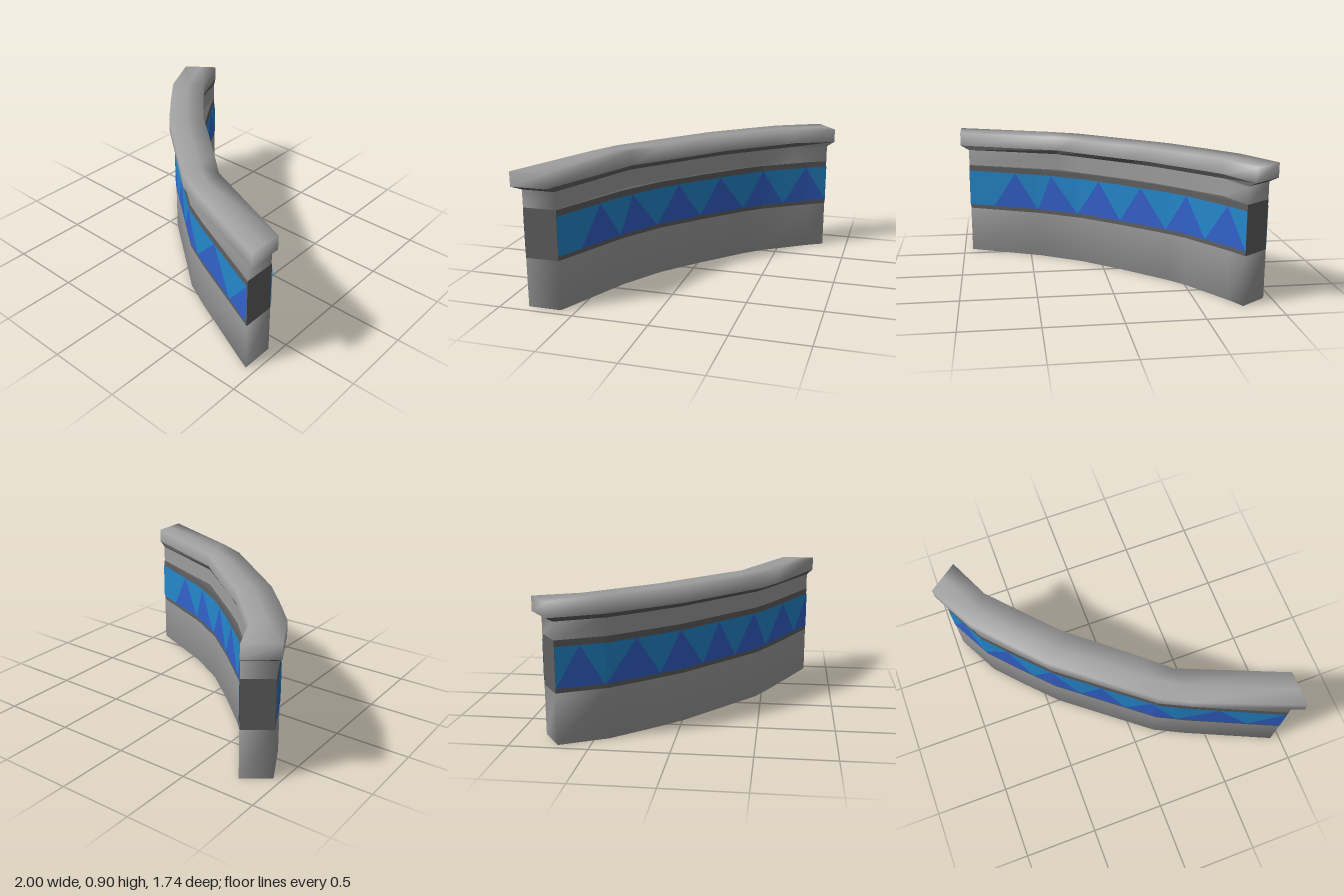
import * as THREE from 'three';
import { mergeVertices } from 'three/addons/utils/BufferGeometryUtils.js';

const grey = new THREE.MeshStandardMaterial({ color: 0x9e9e9e });
const dark = new THREE.MeshStandardMaterial({ color: 0x606060 });
const lightBlue = new THREE.MeshStandardMaterial({ color: 0x2488cd, side: THREE.DoubleSide });
const deepBlue = new THREE.MeshStandardMaterial({ color: 0x3362cb, side: THREE.DoubleSide });

// Plan outlines as [x, z], eight points each: fronts run from -x to +x, backs return from +x to -x
const capFront = [[-1, -0.73], [-0.84, -0.42], [-0.65, -0.2], [-0.45, 0.02], [-0.155, 0.26],
  [0.14, 0.5], [0.34, 0.6], [1, 0.865]];
const capBack = [[1, 0.63], [0.3, 0.34], [0.14, 0.2], [-0.12, -0.02], [-0.29, -0.16],
  [-0.5, -0.39], [-0.68, -0.59], [-0.81, -0.87]];
const wallFront = [[-0.95, -0.7], [-0.8, -0.41], [-0.61, -0.2], [-0.42, 0], [-0.13, 0.23],
  [0.16, 0.46], [0.36, 0.56], [0.94, 0.82]];
const neckBack = [[0.94, 0.605], [0.3, 0.355], [0.13, 0.215], [-0.13, 0], [-0.3, -0.15],
  [-0.51, -0.38], [-0.69, -0.58], [-0.78, -0.82]];
const wallBack = [[0.94, 0.6], [0.42, 0.37], [0.14, 0.2], [-0.12, -0.02], [-0.4, -0.28],
  [-0.5, -0.39], [-0.71, -0.7], [-0.78, -0.82]];

const at = ([x, z], y) => [x, y, z];

// Side faces between two outlines
function sides(lower, y0, upper, y1) {
  return lower.flatMap((p, i) => {
    const j = (i + 1) % lower.length;
    const a = at(p, y0), b = at(lower[j], y0), c = at(upper[j], y1), d = at(upper[i], y1);
    return [a, b, c, a, c, d];
  });
}

// Flat lid with a centre line, facing up or down
function lid(front, back, y, up) {
  const far = [...back].reverse();
  const middle = front.map((p, i) => [(p[0] + far[i][0]) / 2, (p[1] + far[i][1]) / 2]);
  const tris = [];
  for (const [near, away] of [[front, middle], [middle, far]]) {
    for (let i = 0; i < near.length - 1; i++) {
      const a = at(near[i], y), b = at(near[i + 1], y), c = at(away[i + 1], y), d = at(away[i], y);
      tris.push(...(up ? [a, b, c, a, c, d] : [a, c, b, a, d, c]));
    }
  }
  return tris;
}

function mesh(name, corners, material, smooth) {
  let g = new THREE.BufferGeometry();
  g.setAttribute('position', new THREE.Float32BufferAttribute(corners.flat(), 3));
  if (smooth) g = mergeVertices(g);
  g.computeVertexNormals();
  const m = new THREE.Mesh(g, material);
  m.name = name;
  return m;
}

// Point where a path reaches value v on one axis (0 = x, 1 = z)
function pointAt(path, axis, v) {
  for (let i = 0; i < path.length - 1; i++) {
    const p = path[i], q = path[i + 1];
    const t = (v - p[axis]) / (q[axis] - p[axis]);
    if (t >= -1e-6 && t <= 1 + 1e-6) return [p[0] + (q[0] - p[0]) * t, p[1] + (q[1] - p[1]) * t];
  }
  return path[path.length - 1];
}

// Zigzag panel: stops are [position, isPeak]; deep blue below the line, light blue above
function zigzag(name, path, axis, stops, shift) {
  const low = 0.36, high = 0.62;
  const dir = Math.sign(path[path.length - 1][axis] - path[0][axis]);
  const height = v => {
    for (let i = 0; i < stops.length - 1; i++) {
      const [a, ha] = stops[i], [b, hb] = stops[i + 1];
      if ((v - a) * dir >= -1e-6 && (b - v) * dir >= -1e-6)
        return low + (high - low) * (ha + (hb - ha) * (v - a) / (b - a));
    }
    return low;
  };
  const cuts = [...new Set([...path.map(p => p[axis]), ...stops.map(s => s[0])])]
    .sort((a, b) => (a - b) * dir);
  const below = [], above = [];
  for (let i = 0; i < cuts.length - 1; i++) {
    const [p, q] = [cuts[i], cuts[i + 1]].map(v => {
      const [x, z] = pointAt(path, axis, v);
      return [x + shift[0], z + shift[1]];
    });
    const hp = height(cuts[i]), hq = height(cuts[i + 1]);
    const quad = (a0, b0, b1, a1) =>
      [at(p, a0), at(q, b0), at(q, b1), at(p, a0), at(q, b1), at(p, a1)];
    below.push(...quad(low, low, hq, hp));
    above.push(...quad(hp, hq, high, high));
  }
  const g = new THREE.Group();
  g.name = name;
  g.add(mesh(name + 'Triangles', below, deepBlue, true), mesh(name + 'Background', above, lightBlue, true));
  return g;
}

export function createModel() {
  const model = new THREE.Group();
  model.name = 'curvedWall';
  const wall = [...wallFront, ...wallBack];
  const neck = [...wallFront, ...neckBack];
  const cap = [...capFront, ...capBack];

  // Wall body with the darker band through its middle
  model.add(mesh('lowerWall', [...sides(wall, 0, wall, 0.33), ...lid(wallFront, wallBack, 0, false)], grey, true));
  model.add(mesh('darkBand', [...sides(wall, 0.33, wall, 0.66), ...lid(wallFront, wallBack, 0.66, true)], dark));
  model.add(mesh('upperWall', sides(neck, 0.66, neck, 0.775), grey, true));

  // Overhanging cap: sloped underside, upright rim, softly shaded top
  model.add(mesh('capUnderside', sides(neck, 0.775, cap, 0.805), dark));
  model.add(mesh('cap', [...sides(cap, 0.805, cap, 0.9), ...lid(capFront, capBack, 0.9, true)], grey, true));

  // Blue zigzag decoration on both long faces
  const frontStops = [[-0.95, 0], [-0.88, 1], [-0.81, 0], [-0.66, 1], [-0.54, 0], [-0.43, 1], [-0.27, 0],
    [-0.15, 1], [-0.02, 0], [0.13, 1], [0.28, 0], [0.53, 1], [0.73, 0], [0.94, 1]];
  const backStops = [[0.6, 0], [0.52, 0], [0.45, 1], [0.38, 0], [0.325, 1], [0.215, 0], [0.1, 1],
    [-0.015, 0], [-0.13, 1], [-0.27, 0], [-0.39, 1], [-0.53, 0], [-0.68, 1], [-0.82, 0]];
  model.add(zigzag('frontZigzag', wallFront, 0, frontStops, [-0.003, 0.003]));
  model.add(zigzag('backZigzag', wallBack, 1, backStops, [0.003, -0.003]));
  return model;
}
